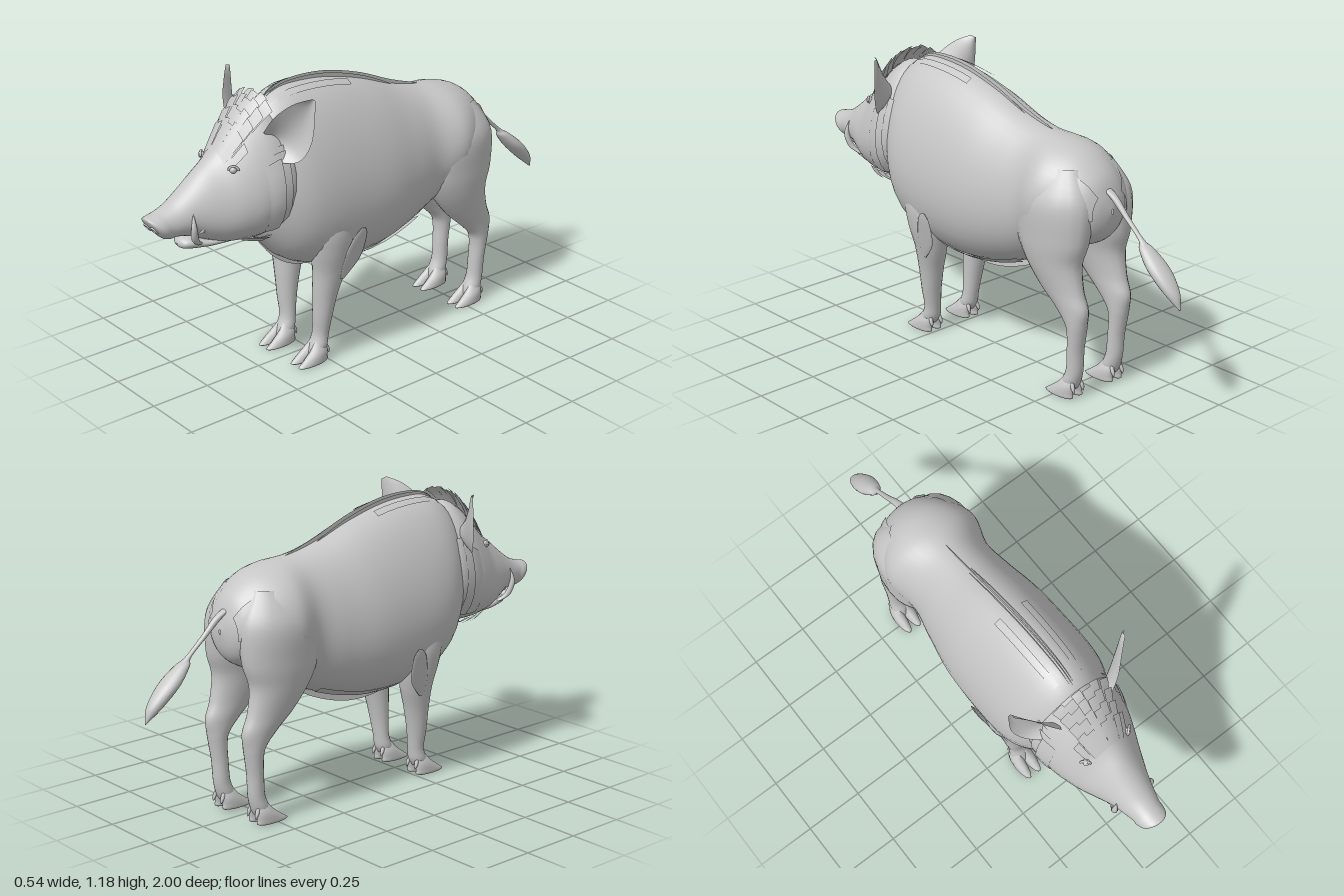
import * as THREE from 'three';
import { mergeVertices } from 'three/addons/utils/BufferGeometryUtils.js';

const hide = new THREE.MeshStandardMaterial({ color: 0xc6c6c6, side: THREE.DoubleSide });
hide.name = 'grey hide';
const { sin, cos, PI, max, min, abs } = Math;
const deg = PI / 180;

// Smooth curve through rows of numbers, t from 0 to 1
function spline(rows) {
  const at = i => rows[max(0, min(rows.length - 1, i))];
  return t => {
    const s = t * (rows.length - 1), i = min(Math.floor(s), rows.length - 2), f = s - i;
    return rows[0].map((_, k) => {
      const [a, b, c, d] = [at(i - 1)[k], at(i)[k], at(i + 1)[k], at(i + 2)[k]];
      return 0.5 * (2 * b + (c - a) * f + (2 * a - 5 * b + 4 * c - d) * f * f + (3 * b - a - 3 * c + d) * f ** 3);
    });
  };
}

// Surface grid from fn(u, v) -> [x, y, z]; side -1 mirrors it in x
function grid(fn, nu, nv, side = 1) {
  const pos = [], idx = [];
  for (let j = 0; j <= nv; j++) for (let i = 0; i <= nu; i++) {
    const [x, y, z] = fn(i / nu, j / nv);
    pos.push(x * side, y, z);
  }
  for (let j = 0; j < nv; j++) for (let i = 0; i < nu; i++) {
    const a = j * (nu + 1) + i, b = a + 1, c = b + nu + 1, d = a + nu + 1;
    if (side > 0) idx.push(a, b, c, a, c, d); else idx.push(a, c, b, a, d, c);
  }
  let g = new THREE.BufferGeometry();
  g.setAttribute('position', new THREE.Float32BufferAttribute(pos, 3));
  g.setIndex(idx);
  g = mergeVertices(g, 1e-5);
  g.computeVertexNormals();
  return g;
}

// Lengthwise form: rows are [z, top, bottom, halfWidth, lower heaviness]
function trunk(rows) {
  const s = spline(rows);
  const surf = (t, a, out = 0) => {
    const [z, top, bot, w, k] = s(t), y = (top + bot) / 2, h = (top - bot) / 2;
    return [(w + out) * cos(a) * (1 - k * sin(a)), y + (h + out) * sin(a), z];
  };
  surf.tAt = z => {
    let lo = 0, hi = 1;
    for (let i = 0; i < 24; i++) { const m = (lo + hi) / 2; if (s(m)[0] < z) lo = m; else hi = m; }
    return lo;
  };
  return surf;
}

// Upright form: rows from bottom to top are [x, y, z, radiusX, radiusZ]
function limb(rows, side = 1, nu = 20, nv = rows.length * 5) {
  const s = spline(rows);
  return grid((u, v) => {
    const [x, y, z, rx, rz] = s(v), a = u * 2 * PI;
    return [x + rx * cos(a), y, z - rz * sin(a)];
  }, nu, nv, side);
}

// Hair plate lying on a trunk, lifting away towards its z0 edge
const card = (surf, z0, z1, a0, a1, lift, side = 1) => grid((u, v) =>
  surf(surf.tAt(z0 + (z1 - z0) * v), (a0 + (a1 - a0) * u) * deg, 0.003 + lift * (1 - v)), 6, 6, side);

// Thin upright fin of bristles along a trunk
const fin = (surf, z0, z1, a, height, side = 1) => grid((u, v) =>
  surf(surf.tAt(z0 + (z1 - z0) * v), a * deg, -0.01 + u * (0.01 + height * Math.sqrt(sin(PI * v)))), 2, 24, side);

const body = trunk([
  [-.65, .77, .75, .005, 0], [-.635, .83, .68, .075, 0], [-.60, .90, .63, .122, 0], [-.52, .965, .59, .18, 0],
  [-.42, .995, .55, .217, 0], [-.30, 1.01, .48, .19, .08], [-.18, 1.04, .43, .208, .14], [-.02, 1.10, .39, .234, .18],
  [.15, 1.145, .385, .24, .2], [.30, 1.16, .41, .236, .2], [.40, 1.15, .46, .214, .18], [.48, 1.10, .54, .163, .1],
  [.54, 1.0, .62, .09, 0], [.56, .85, .75, .01, 0]]);

const headBase = trunk([
  [.40, 1.0, .75, .08, .2], [.43, 1.08, .66, .165, .2], [.50, 1.115, .61, .185, .25], [.57, 1.08, .60, .18, .3],
  [.64, 1.015, .605, .16, .3], [.70, .955, .617, .137, .3], [.76, .91, .64, .113, .25], [.82, .862, .668, .09, .15],
  [.88, .82, .683, .073, .1], [.925, .797, .68, .063, 0], [.96, .787, .683, .062, 0], [.988, .778, .69, .05, 0],
  [.995, .74, .735, .002, 0]]);
// Lean the snout disc so its upper rim leads
const head = (t, a, out) => {
  const [x, y, z] = headBase(t, a, out), f = THREE.MathUtils.smoothstep(z, .88, 1);
  return [x, y, z + (y - .765) * .75 * f];
};
head.tAt = headBase.tAt;

const jaw = trunk([
  [.66, .66, .608, .08, 0], [.74, .655, .61, .068, 0], [.78, .66, .613, .06, 0], [.82, .67, .617, .052, 0],
  [.85, .662, .625, .036, 0], [.862, .645, .64, .003, 0]]);

const foreleg = [
  [.105, .04, .293, .03, .035], [.105, .07, .28, .04, .037], [.107, .12, .268, .037, .032], [.115, .20, .264, .043, .04],
  [.122, .30, .255, .052, .053], [.133, .40, .242, .065, .07], [.15, .50, .243, .073, .087], [.158, .60, .25, .072, .095],
  [.145, .72, .27, .055, .08], [.13, .82, .28, .01, .03]];
const hindleg = [
  [.11, .04, -.55, .03, .035], [.11, .07, -.56, .038, .038], [.11, .12, -.575, .035, .034], [.112, .20, -.58, .036, .033],
  [.114, .27, -.586, .039, .037], [.115, .32, -.583, .043, .048], [.116, .38, -.555, .049, .082], [.118, .45, -.503, .06, .108],
  [.118, .55, -.458, .082, .138], [.112, .65, -.45, .1, .172], [.102, .80, -.45, .11, .172], [.085, .92, -.46, .055, .09]];
const tailRows = [
  [0, .47, -1.0, .002, .002], [0, .53, -.955, .032, .032], [0, .60, -.89, .045, .042], [0, .66, -.83, .03, .03],
  [0, .69, -.80, .011, .013], [0, .76, -.72, .011, .014], [0, .82, -.655, .015, .02], [0, .85, -.60, .02, .02]];

export function createModel() {
  const model = new THREE.Group();
  model.name = 'wild boar';
  const add = (name, geometry, x = 0, y = 0, z = 0) => {
    const m = new THREE.Mesh(geometry, hide);
    m.name = name;
    m.position.set(x, y, z);
    model.add(m);
    return m;
  };
  const skin = (name, surf, nv) => add(name, grid((u, v) => surf(v, u * 2 * PI, 0), 40, nv));

  skin('body', body, 80);
  skin('head', head, 70);
  skin('lowerJaw', jaw, 24);
  add('tail', limb(tailRows));

  // Bristle ridge along the spine, and the crown rows on the forehead
  add('spineMane', fin(body, -.33, .46, 90, .022));
  [[.50, .57], [.535, .61], [.575, .65], [.615, .685]].forEach(([z0, z1], r) => {
    for (let i = 0; i < 6; i++) {
      const a = 52 + i * 12.7, lift = (.046 - r * .008) * (1 + abs(i - 2.5) * .16);
      add('crownTuft', card(head, z0 - (i % 2) * .012, z1, a, a + 12.7, lift));
    }
  });
  add('chestFringe', fin(body, .08, .50, -90, .02));

  for (const s of [1, -1]) {
    add('foreleg', limb(foreleg, s));
    add('hindleg', limb(hindleg, s));

    // Cloven hooves with dewclaws
    for (const [x, z] of [[.105, .285], [.11, -.558]]) for (const k of [-1, 1]) {
      const tx = x + k * .025;
      add('toe', limb([[tx, .003, z + .043, .001, .002], [tx, .003, z + .043, .022, .069], [tx, .025, z + .028, .025, .059],
        [tx - k * .003, .055, z + .008, .023, .04], [tx - k * .01, .09, z - .004, .012, .024]], s, 14));
      add('dewclaw', limb([[tx, .03, z - .04, .002, .002], [tx, .05, z - .034, .008, .008],
        [tx - k * .006, .09, z - .015, .007, .01]], s, 10));
    }

    // Cupped ear opening forward and outward, between its front and rear edges
    const front = spline([[.12, 1.04, .54], [.16, 1.105, .52], [.21, 1.158, .475], [.26, 1.183, .43]]);
    const rear = spline([[.15, .93, .525], [.225, .935, .46], [.265, 1.02, .425], [.271, 1.175, .412]]);
    const ear = (u, v) => {
      const p = front(v), q = rear(v), b = sin(PI * u) * .06 * (1 - v * .8);
      return [p[0] + (q[0] - p[0]) * u - b * .5, p[1] + (q[1] - p[1]) * u, p[2] + (q[2] - p[2]) * u - b * .7];
    };
    add('ear', grid(ear, 14, 18, s));

    // Eye under a low lid
    add('eye', new THREE.SphereGeometry(.014, 16, 12), s * .1, .92, .667);
    const lid = add('eyelid', new THREE.TorusGeometry(.018, .005, 8, 20, PI), s * .104, .92, .668);
    lid.rotation.y = s * .75;
    lid.scale.y = .8;

    // Nostril rim and tusks
    const nostril = add('nostril', new THREE.TorusGeometry(.012, .004, 8, 18), s * .022, .735, .973);
    nostril.rotation.x = .64;
    nostril.scale.y = 1.3;
    add('tusk', limb([[.052, .645, .80, .014, .014], [.076, .675, .83, .014, .014], [.09, .73, .843, .011, .011],
      [.08, .785, .838, .001, .001]], s, 12));
    add('upperTusk', limb([[.06, .69, .80, .014, .014], [.08, .705, .80, .011, .012], [.088, .745, .795, .001, .001]], s, 10));

    // Brow, cheek and chin plates
    for (let i = 0; i < 3; i++) add('browTuft', card(head, .61 + i * .008, .67, 40 + i * 11, 50 + i * 11, .018, s));
    [[.435, .50], [.465, .53], [.50, .565]].forEach(([z0, z1], i) =>
      add('cheekRuff', card(head, z0, z1, -58 + i * 4, 28 - i * 5, .012, s)));
    for (let i = 0; i < 3; i++) add('chinTuft', card(head, .50 + i * .03, .58 + i * .03, -72 + i * 5, -62 + i * 5, .02, s));

    // Hair along the back, belly, elbow and rump
    add('backMane', fin(body, -.18, .44, 87, .015, s));
    add('backHair', card(body, .08, .42, 68, 76, .01, s));
    add('bellyFringe', fin(body, -.34, .20, -86, .03, s));
    add('bellyHair', card(body, -.25, .15, -72, -60, .01, s));
    add('elbowHair', limb([[.188, .37, .22, .003, .01], [.208, .45, .19, .006, .045], [.234, .55, .168, .006, .035],
      [.244, .59, .16, .002, .01]], s, 12));
    add('rumpHair', card(body, -.635, -.56, -10, 48, .014, s));
  }
  return model;
}
